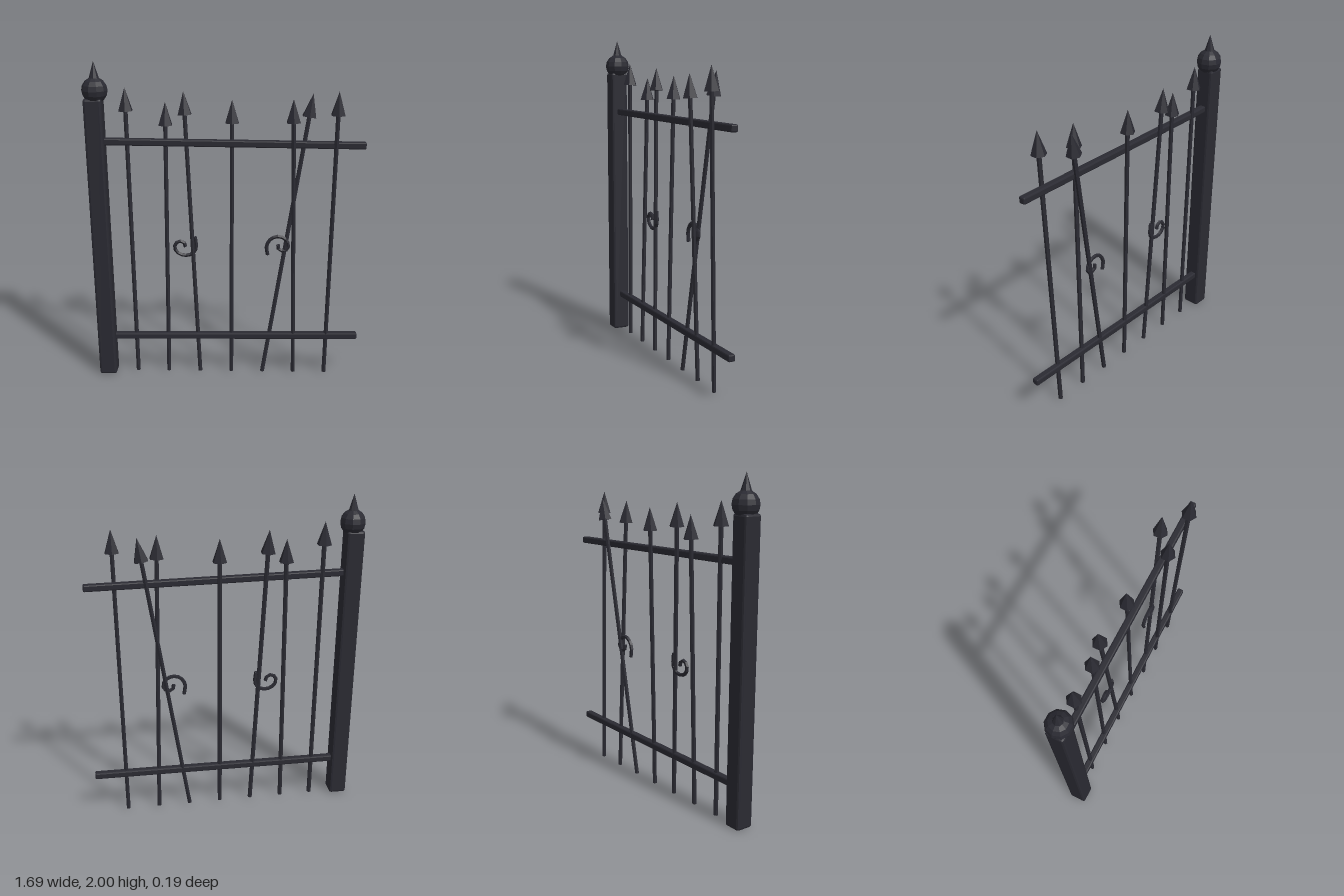
import * as THREE from 'three';
import { RoundedBoxGeometry } from 'three/addons/geometries/RoundedBoxGeometry.js';

const iron = new THREE.MeshStandardMaterial({ color: 0x2a2a32 });
iron.name = 'dark iron';

// faceted mesh with hard edges
function facet(name, geometry) {
  const g = geometry.index ? geometry.toNonIndexed() : geometry;
  g.computeVertexNormals();
  const mesh = new THREE.Mesh(g, iron);
  mesh.name = name;
  return mesh;
}

// group whose y axis runs from a to b, with its origin at a
function along(name, a, b) {
  const group = new THREE.Group();
  group.name = name;
  group.position.copy(a);
  group.quaternion.setFromUnitVectors(new THREE.Vector3(0, 1, 0), b.clone().sub(a).normalize());
  return group;
}

const v = (x, y, z = 0) => new THREE.Vector3(x, y, z);

// bevelled square beam between two points
function beam(name, a, b, width, bevel) {
  const length = a.distanceTo(b);
  const group = along(name, a, b);
  const mesh = facet(name + 'Beam', new RoundedBoxGeometry(width, length, width, 1, bevel));
  mesh.position.y = length / 2;
  group.add(mesh);
  return group;
}

// round bar with a spear head
function picket(a, tip) {
  const head = 0.14;
  const length = a.distanceTo(tip);
  const group = along('picket', a, tip);
  const shaft = facet('shaft', new THREE.CylinderGeometry(0.014, 0.014, length - head, 6));
  shaft.position.y = (length - head) / 2;
  const spear = facet('spearHead', new THREE.ConeGeometry(0.046, head, 6));
  spear.position.y = length - head / 2;
  group.add(shaft, spear);
  return group;
}

// curled scroll ornament
function scroll(points, z) {
  const curve = new THREE.CatmullRomCurve3(points.map(([x, y]) => v(x, y, z)));
  const group = new THREE.Group();
  group.name = 'scroll';
  group.add(facet('scrollRod', new THREE.TubeGeometry(curve, 14, 0.012, 5)));
  for (const [t, dir] of [[0, -1], [1, 1]]) {
    const cap = facet('scrollEnd', new THREE.CircleGeometry(0.012, 5));
    cap.position.copy(curve.getPointAt(t));
    cap.quaternion.setFromUnitVectors(v(0, 0, 1), curve.getTangentAt(t).multiplyScalar(dir));
    group.add(cap);
  }
  return group;
}

export function createModel() {
  const model = new THREE.Group();
  model.name = 'brokenIronFence';

  // leaning post with ball and spike
  model.add(beam('post', v(-0.754, 0, 0.01), v(-0.779, 1.785, 0), 0.11, 0.014));
  const ball = facet('postBall', new THREE.SphereGeometry(0.078, 10, 8));
  ball.position.set(-0.768, 1.83, 0);
  const spike = facet('postSpike', new THREE.ConeGeometry(0.04, 0.13, 8));
  spike.position.set(-0.768, 1.935, 0);
  model.add(ball, spike);

  // rails
  model.add(beam('topRail', v(-0.74, 1.524), v(0.84, 1.506), 0.042, 0.008));
  model.add(beam('bottomRail', v(-0.72, 0.25), v(0.84, 0.264), 0.042, 0.008));

  // pickets: foot x, tip x, tip y, tip z
  const pickets = [
    [-0.566, -0.595, 1.845, -0.02],
    [-0.366, -0.359, 1.755, -0.042],
    [-0.162, -0.251, 1.818, -0.055],
    [0.04, 0.04, 1.772, -0.036],
    [0.44, 0.4, 1.79, 0.042],
    [0.24, 0.522, 1.805, -0.062],
    [0.64, 0.663, 1.835, 0.046],
  ];
  for (const [foot, x, y, z] of pickets) model.add(picket(v(foot, 0.003), v(x, y, z)));

  // scrolls
  model.add(scroll([[-0.188, 0.915], [-0.183, 0.84], [-0.21, 0.803], [-0.255, 0.793], [-0.3, 0.813],
    [-0.317, 0.85], [-0.297, 0.883], [-0.262, 0.883], [-0.248, 0.85]], -0.025));
  model.add(scroll([[0.265, 0.8], [0.257, 0.86], [0.283, 0.905], [0.33, 0.922], [0.375, 0.903],
    [0.393, 0.86], [0.372, 0.828], [0.335, 0.835], [0.328, 0.867]], -0.025));

  return model;
}
